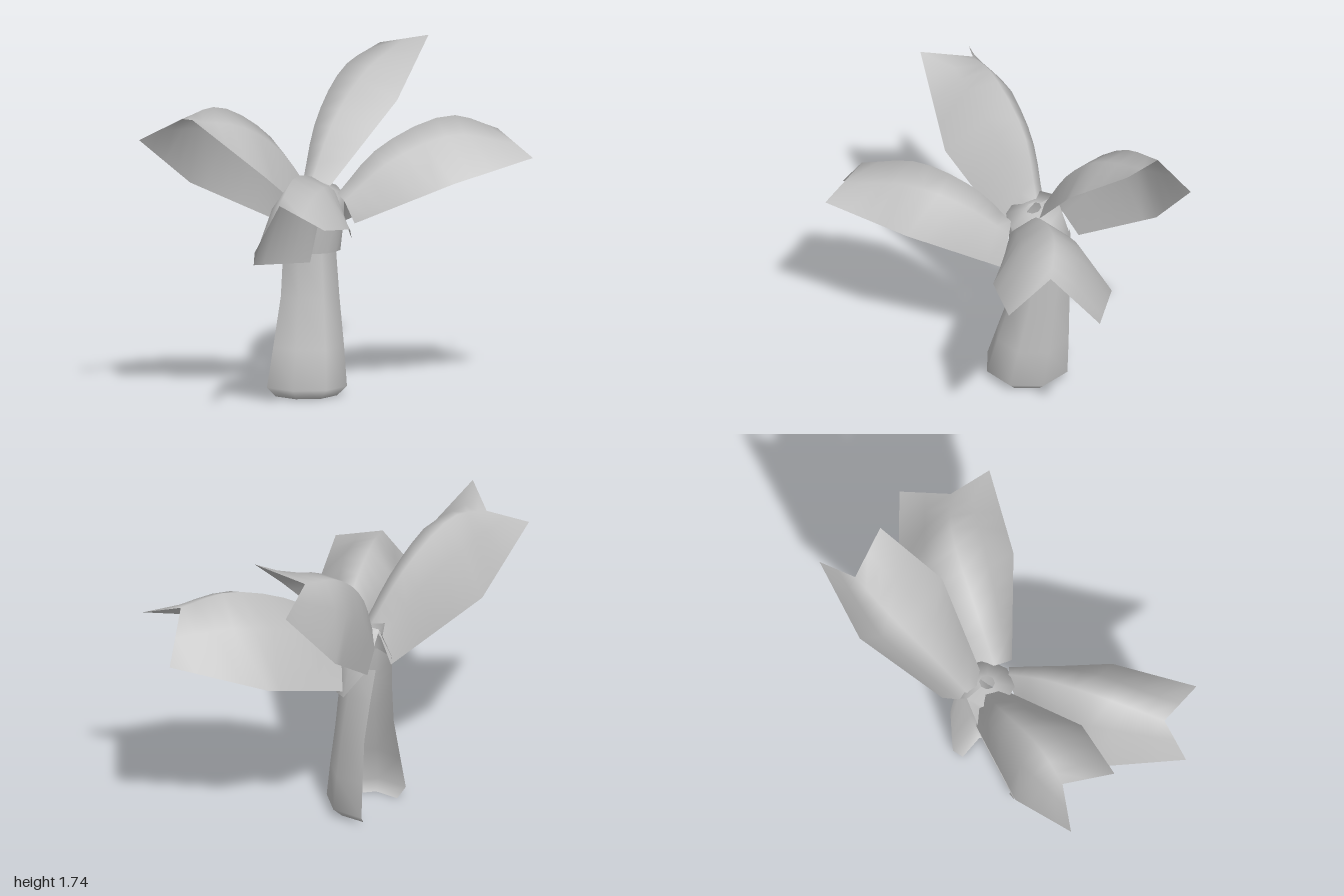
import * as THREE from 'three';

const grey = new THREE.MeshStandardMaterial({ color: 0xc0c0c0, side: THREE.DoubleSide });
grey.name = 'paleGrey';

// Smooth sheet through a grid of points: rows of equal length
function sheet(rows, name, flip = false) {
  const n = rows[0].length, pos = [], idx = [];
  rows.forEach((row) => row.forEach((p) => pos.push(p.x, p.y, p.z)));
  for (let i = 0; i < rows.length - 1; i++) {
    for (let j = 0; j < n - 1; j++) {
      const a = i * n + j, b = a + n;
      if (flip) idx.push(a, b, a + 1, a + 1, b, b + 1);
      else idx.push(a, a + 1, b, a + 1, b + 1, b);
    }
  }
  const g = new THREE.BufferGeometry();
  g.setAttribute('position', new THREE.Float32BufferAttribute(pos, 3));
  g.setIndex(idx);
  g.computeVertexNormals();
  const mesh = new THREE.Mesh(g, grey);
  mesh.name = name;
  return mesh;
}

// Open wrap of arcs; ring = [y, centreX, centreZ, radius, startDeg, endDeg, tilt]
function wrap(rings, name, sides) {
  const rows = rings.map(([y, cx, cz, r, a0, a1, tilt = 0]) => {
    const row = [];
    for (let j = 0; j <= sides; j++) {
      const a = THREE.MathUtils.degToRad(a1 + (a0 - a1) * j / sides);
      row.push(new THREE.Vector3(cx + r * Math.cos(a), y - tilt * Math.sin(a), cz + r * Math.sin(a)));
    }
    return row;
  });
  return sheet(rows, name);
}

// Arched leaf with a notched tip: smooth spine, two straight-sided edges with one corner each
function leaf(name, front, spine, back) {
  const ridge = new THREE.CatmullRomCurve3(spine.map((p) => new THREE.Vector3(...p)));
  const corner = 0.6, steps = 10, rows = [];
  const edge = (pts, t) => {
    const [a, b, c] = pts.map((p) => new THREE.Vector3(...p));
    return t < corner ? a.lerp(b, t / corner) : b.lerp(c, (t - corner) / (1 - corner));
  };
  for (let i = 0; i <= steps; i++) {
    const t = i / steps;
    const f = edge(front, t), s = ridge.getPoint(t), b = edge(back, t);
    // outward swell of each half, fading to straight edges at the tip
    const swell = s.clone().sub(f.clone().add(b).multiplyScalar(0.5))
      .multiplyScalar(0.24 * (1 - t ** 4));
    const mid = (e) => e.clone().add(s).multiplyScalar(0.5).add(swell);
    rows.push([f, mid(f), s, mid(b), b]);
  }
  return sheet(rows, name, spine[3][0] > 0);
}

export function createModel() {
  const model = new THREE.Group();
  model.name = 'plant';

  // Leaning trunk, open at the back
  model.add(wrap([
    [0, -0.11, -0.234, 0.168, -30, 197],
    [0.05, -0.11, -0.234, 0.22, -30, 197],
    [0.25, -0.08, -0.247, 0.192, -33, 200],
    [0.5, -0.045, -0.265, 0.155, -38, 206],
    [0.73, -0.03, -0.28, 0.136, -50, 215],
    [0.9, -0.03, -0.29, 0.125, -60, 220],
  ], 'trunk', 5));

  // Flaring collar that holds the leaves
  model.add(wrap([
    [0.73, -0.03, -0.27, 0.15, 5, 200],
    [0.9, -0.03, -0.25, 0.155, -50, 230],
    [1.05, -0.04, -0.22, 0.14, -90, 270, 0.04],
    [1.07, -0.04, -0.22, 0.04, -90, 270, 0.01],
  ], 'collar', 8));

  model.add(leaf('frontLeftLeaf',
    [[0.01, 0.89, 0], [0.37, 1.09, 0.35], [0.75, 1.2, 0.54]],
    [[0.01, 1.03, -0.12], [0.23, 1.25, -0.04], [0.58, 1.39, 0.12], [0.76, 1.32, 0.28]],
    [[0.2, 0.82, -0.32], [0.64, 0.96, -0.2], [1.0, 1.12, 0.15]]));

  model.add(leaf('frontRightLeaf',
    [[-0.01, 0.81, 0], [-0.37, 0.95, 0.34], [-0.77, 1.02, 0.55]],
    [[-0.07, 1.02, -0.1], [-0.25, 1.15, -0.02], [-0.55, 1.21, 0.12], [-0.82, 1.12, 0.28]],
    [[-0.19, 0.7, -0.12], [-0.65, 0.75, -0.07], [-0.99, 0.9, 0.27]]));

  model.add(leaf('backLeftLeaf',
    [[0.03, 1.05, -0.2], [0.42, 1.46, -0.1], [0.76, 1.74, -0.21]],
    [[-0.03, 1.06, -0.33], [0.14, 1.36, -0.4], [0.4, 1.59, -0.46], [0.67, 1.68, -0.47]],
    [[0.1, 0.9, -0.4], [0.54, 1.2, -0.56], [0.88, 1.58, -0.52]]));

  model.add(leaf('backRightLeaf',
    [[-0.1, 0.88, -0.13], [-0.57, 1.19, -0.06], [-0.96, 1.52, -0.2]],
    [[-0.08, 1.07, -0.27], [-0.28, 1.35, -0.34], [-0.6, 1.52, -0.38], [-0.81, 1.48, -0.42]],
    [[-0.12, 0.86, -0.37], [-0.61, 1.11, -0.56], [-1.0, 1.38, -0.54]]));

  return model;
}
